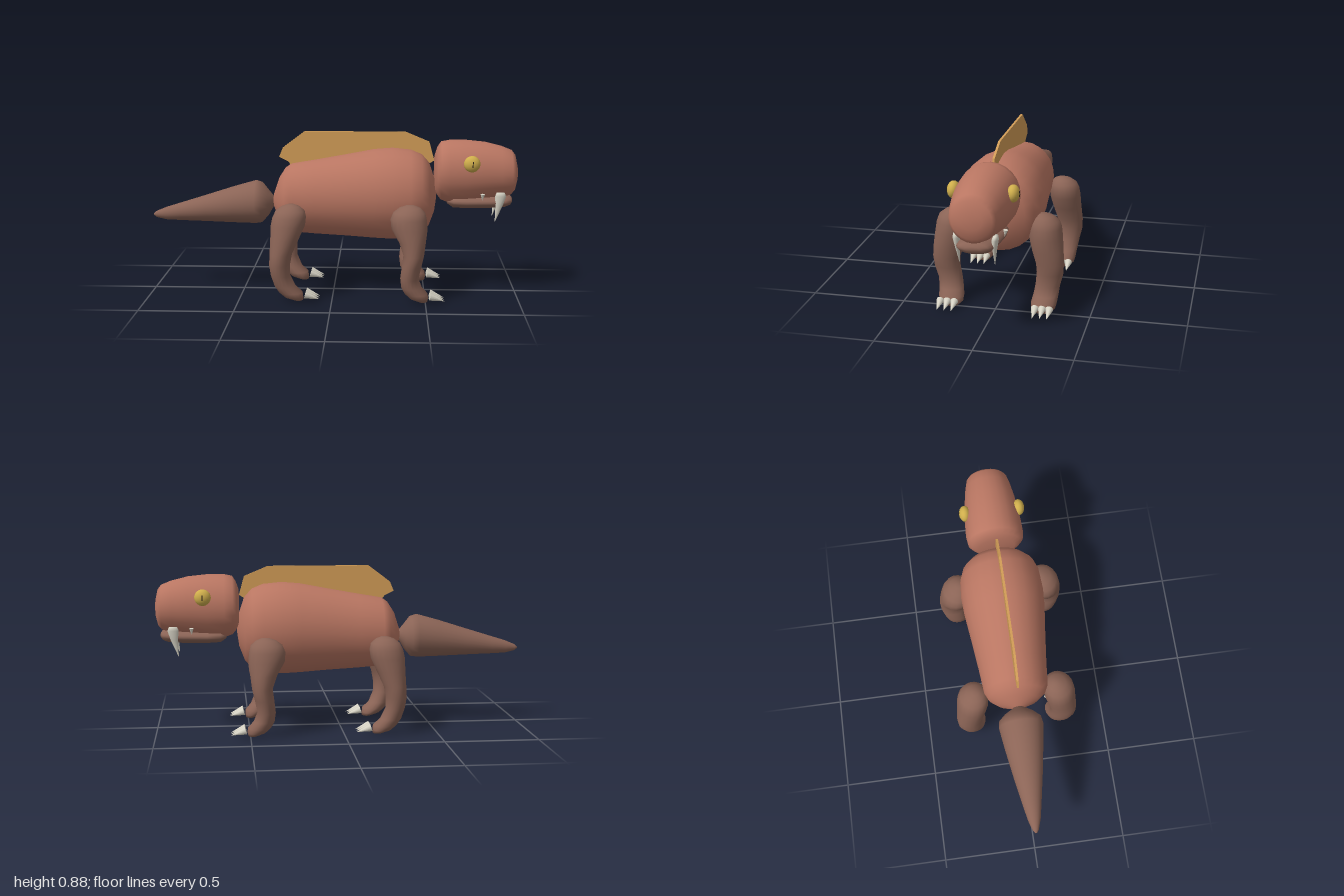
import * as THREE from 'three';

const mat = (name, color) => {
  const m = new THREE.MeshStandardMaterial({ color });
  m.name = name;
  return m;
};

// Skin through elliptical rings [x, y, z, r1, r2], ordered along +x or +y.
// Along x: r1 is the y radius, r2 the z radius. Along y: r1 is x, r2 is z.
function loft(rings, axis, sides = 24) {
  const pos = [], idx = [];
  for (const [x, y, z, r1, r2] of rings) {
    for (let j = 0; j < sides; j++) {
      const t = (j / sides) * Math.PI * 2, c = Math.cos(t), s = Math.sin(t);
      if (axis === 'x') pos.push(x, y + r1 * c, z + r2 * s);
      else pos.push(x + r1 * s, y, z + r2 * c);
    }
  }
  const n = rings.length;
  for (let i = 0; i < n - 1; i++) {
    for (let j = 0; j < sides; j++) {
      const k = (j + 1) % sides;
      const a = i * sides + j, b = i * sides + k, c = b + sides, d = a + sides;
      idx.push(a, b, c, a, c, d);
    }
  }
  // end caps
  const first = rings[0], last = rings[n - 1], p = n * sides;
  pos.push(...first.slice(0, 3), ...last.slice(0, 3));
  for (let j = 0; j < sides; j++) {
    const k = (j + 1) % sides, e = (n - 1) * sides;
    idx.push(p, k, j, p + 1, e + j, e + k);
  }
  const g = new THREE.BufferGeometry();
  g.setAttribute('position', new THREE.Float32BufferAttribute(pos, 3));
  g.setIndex(idx);
  g.computeVertexNormals();
  return g;
}

// Rings given as [x, top, bottom, halfWidth] on the centre line
const span = (list) => loft(list.map(([x, t, b, w]) => [x, (t + b) / 2, 0, (t - b) / 2, w]), 'x');

// Cone from a base point to a tip
function spike(base, tip, radius) {
  const a = new THREE.Vector3(...base), b = new THREE.Vector3(...tip);
  const dir = b.clone().sub(a), len = dir.length();
  const g = new THREE.ConeGeometry(radius, len, 10);
  g.translate(0, len / 2, 0);
  g.applyQuaternion(new THREE.Quaternion().setFromUnitVectors(new THREE.Vector3(0, 1, 0), dir.normalize()));
  g.translate(a.x, a.y, a.z);
  return g;
}

export function createModel() {
  const hide = mat('hide', 0xb97662);
  const darkHide = mat('dark hide', 0x8b6456);
  const sail = mat('sail', 0xd29d57);
  const gold = mat('eye gold', 0xcfae4c);
  const ivory = mat('ivory', 0xd6d2c4);
  const black = mat('pupil', 0x2a2018);

  const model = new THREE.Group();
  model.name = 'creature';
  const add = (name, geometry, material, parent = model) => {
    const m = new THREE.Mesh(geometry, material);
    m.name = name;
    parent.add(m);
    return m;
  };

  // Torso
  add('body', span([
    [-0.33, 0.54, 0.47, 0.03], [-0.3, 0.63, 0.39, 0.11], [-0.265, 0.685, 0.345, 0.155],
    [-0.23, 0.71, 0.33, 0.173], [-0.1, 0.732, 0.32, 0.185], [0.08, 0.765, 0.31, 0.205],
    [0.22, 0.792, 0.3, 0.222], [0.32, 0.8, 0.295, 0.228], [0.42, 0.79, 0.303, 0.222],
    [0.48, 0.765, 0.325, 0.2], [0.52, 0.72, 0.37, 0.16], [0.55, 0.63, 0.45, 0.08], [0.56, 0.56, 0.52, 0.02],
  ]), hide);

  // Tail
  add('tail', span([
    [-1, 0.424, 0.414, 0.005], [-0.985, 0.437, 0.402, 0.016], [-0.93, 0.46, 0.39, 0.034],
    [-0.85, 0.485, 0.387, 0.05], [-0.7, 0.532, 0.383, 0.078], [-0.55, 0.58, 0.378, 0.103],
    [-0.43, 0.614, 0.375, 0.12], [-0.395, 0.603, 0.38, 0.115], [-0.36, 0.56, 0.42, 0.08], [-0.325, 0.52, 0.48, 0.02],
  ]), darkHide);

  // Thin sail along the spine
  const outline = [[-0.3, 0.745], [-0.28, 0.795], [-0.16, 0.886], [0.39, 0.886], [0.52, 0.832],
    [0.548, 0.73], [0.5, 0.7], [0.3, 0.75], [0, 0.7], [-0.22, 0.68], [-0.25, 0.72]];
  const sailGeo = new THREE.ExtrudeGeometry(
    new THREE.Shape(outline.map(([x, y]) => new THREE.Vector2(x, y))), { depth: 0.012, bevelEnabled: false });
  add('backSail', sailGeo.translate(0, 0, -0.006), sail);

  // Head and lower jaw
  const head = new THREE.Group();
  head.name = 'head';
  model.add(head);
  add('skull', span([
    [0.55, 0.76, 0.57, 0.1], [0.565, 0.805, 0.54, 0.135], [0.585, 0.835, 0.515, 0.153],
    [0.63, 0.844, 0.498, 0.158], [0.72, 0.844, 0.5, 0.154], [0.82, 0.834, 0.515, 0.143],
    [0.91, 0.812, 0.53, 0.128], [0.965, 0.79, 0.545, 0.115], [0.985, 0.765, 0.57, 0.1], [0.997, 0.71, 0.62, 0.055],
  ]), hide, head);
  add('lowerJaw', span([
    [0.62, 0.53, 0.495, 0.06], [0.65, 0.55, 0.475, 0.105], [0.72, 0.55, 0.471, 0.112],
    [0.85, 0.55, 0.473, 0.102], [0.93, 0.55, 0.478, 0.09], [0.96, 0.545, 0.49, 0.075], [0.972, 0.53, 0.505, 0.04],
  ]), darkHide, head);

  for (const s of [1, -1]) {
    const side = s > 0 ? 'left' : 'right';

    // Eye with a slit pupil
    const eye = add(side + 'Eye', new THREE.SphereGeometry(0.044, 20, 14), gold, head);
    eye.scale.z = 0.72;
    eye.position.set(0.743, 0.732, s * 0.149);
    add(side + 'Pupil', new THREE.BoxGeometry(0.005, 0.03, 0.004), black, head)
      .position.set(0.746, 0.732, s * 0.18);

    // Tusk and small tooth
    add(side + 'Tusk', spike([0.9, 0.57, s * 0.096], [0.875, 0.41, s * 0.088], 0.005), ivory, head).geometry =
      loft([[0.876, 0.41, s * 0.088, 0.001, 0.001], [0.897, 0.5, s * 0.092, 0.02, 0.012],
        [0.903, 0.55, s * 0.096, 0.03, 0.017], [0.903, 0.57, s * 0.098, 0.022, 0.012]], 'y', 12);
    add(side + 'Tooth', spike([0.805, 0.565, s * 0.125], [0.803, 0.53, s * 0.12], 0.012), ivory, head);

    // Legs, from sole to shoulder
    const legs = {
      Front: [[0.487, 0.003, 0.245, 0.025, 0.04], [0.467, 0.02, 0.247, 0.049, 0.064],
        [0.452, 0.045, 0.249, 0.062, 0.068], [0.427, 0.08, 0.255, 0.056, 0.066],
        [0.414, 0.13, 0.262, 0.049, 0.065], [0.425, 0.2, 0.275, 0.052, 0.07], [0.436, 0.26, 0.276, 0.055, 0.074],
        [0.428, 0.33, 0.263, 0.072, 0.083], [0.412, 0.4, 0.25, 0.097, 0.088], [0.407, 0.45, 0.245, 0.097, 0.086],
        [0.41, 0.485, 0.24, 0.085, 0.078], [0.413, 0.51, 0.235, 0.055, 0.05], [0.415, 0.522, 0.23, 0.02, 0.02]],
      Hind: [[-0.18, 0.003, 0.235, 0.025, 0.04], [-0.205, 0.02, 0.237, 0.05, 0.062],
        [-0.222, 0.045, 0.239, 0.064, 0.066], [-0.252, 0.08, 0.245, 0.056, 0.064],
        [-0.275, 0.14, 0.255, 0.052, 0.064], [-0.279, 0.2, 0.265, 0.056, 0.068], [-0.272, 0.26, 0.264, 0.06, 0.072],
        [-0.252, 0.34, 0.25, 0.077, 0.08], [-0.235, 0.41, 0.24, 0.092, 0.086], [-0.228, 0.455, 0.235, 0.09, 0.084],
        [-0.224, 0.488, 0.23, 0.078, 0.074], [-0.222, 0.51, 0.225, 0.05, 0.048], [-0.22, 0.521, 0.222, 0.02, 0.02]],
    };
    for (const [key, rings] of Object.entries(legs)) {
      const leg = new THREE.Group();
      leg.name = side + key + 'Leg';
      model.add(leg);
      add('limb', loft(rings.map(([x, y, z, a, b]) => [x, y, s * z, a, b]), 'y', 18), darkHide, leg);
      const [x0, z0] = key === 'Front' ? [0.525, 0.253] : [-0.143, 0.239];
      for (const d of [-0.038, 0, 0.038]) {
        add('claw', spike([x0, 0.039, s * (z0 + d)], [x0 + 0.078, 0.015, s * (z0 + d)], 0.021), ivory, leg);
      }
    }
  }
  return model;
}
